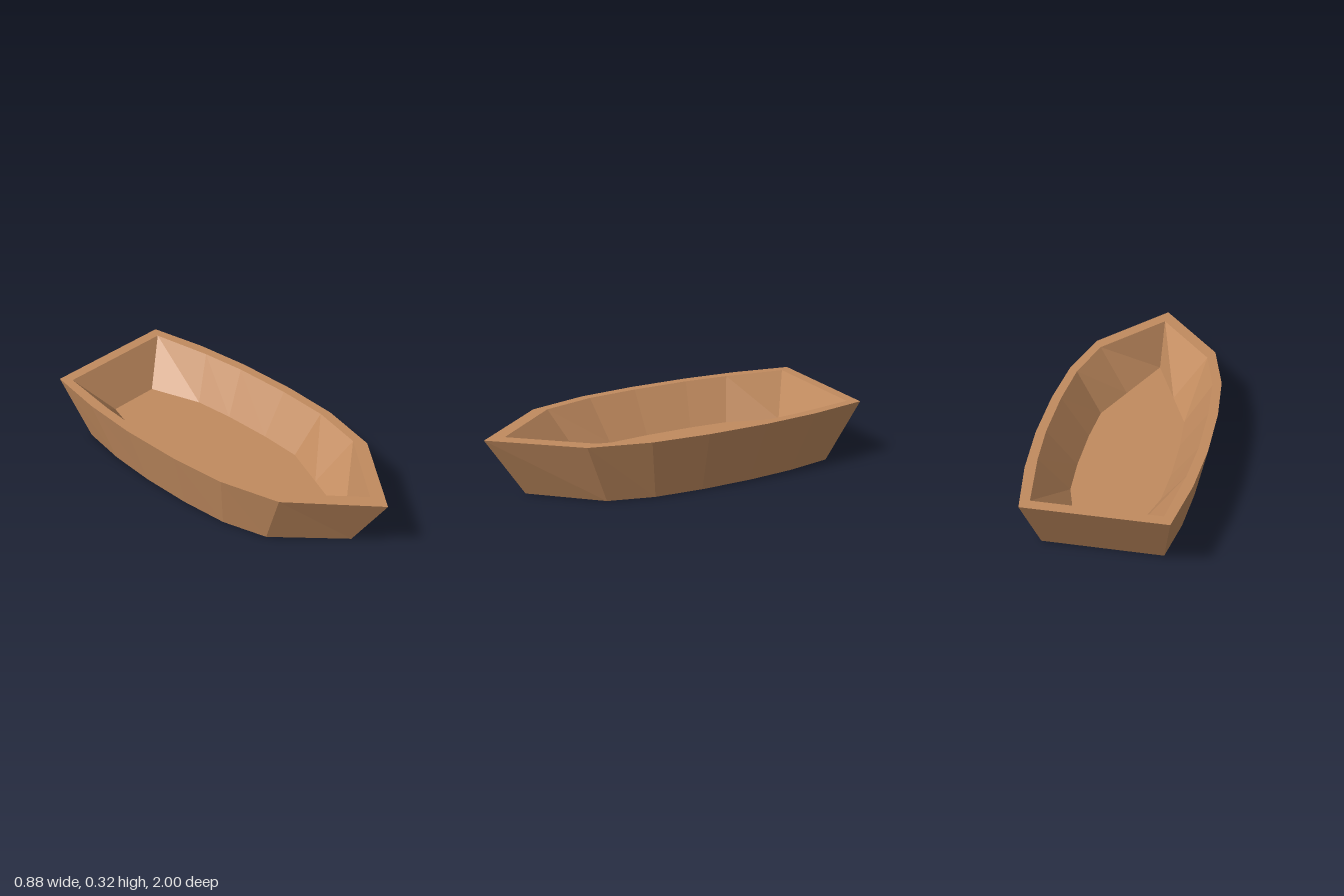
import * as THREE from 'three';

// Closed horizontal outline from its left half (x, z), stern to bow, mirrored to the right
function outline(y, half) {
  const left = half.map(([x, z]) => new THREE.Vector3(x, y, z));
  const right = half.slice(0, -1).reverse().map(([x, z]) => new THREE.Vector3(-x, y, z));
  return [...left, ...right];
}

// Faceted band of quads joining two outlines
function band(name, a, b, material) {
  const points = [];
  for (let i = 0; i < a.length; i++) {
    const j = (i + 1) % a.length;
    points.push(a[i], b[i], b[j], a[i], b[j], a[j]);
  }
  const geometry = new THREE.BufferGeometry().setFromPoints(points);
  geometry.computeVertexNormals();
  const mesh = new THREE.Mesh(geometry, material);
  mesh.name = name;
  return mesh;
}

export function createModel() {
  const group = new THREE.Group();
  group.name = 'rowingBoat';
  const wood = new THREE.MeshStandardMaterial({ color: 0xc18b5f, side: THREE.DoubleSide, flatShading: true });
  wood.name = 'wood';

  const keel = outline(0, [[0.305, -0.83], [0.35, -0.575], [0.37, -0.31], [0.37, -0.03], [0.35, 0.23], [0.285, 0.47], [0, 0.79]]);
  const gunwale = outline(0.32, [[0.36, -1], [0.415, -0.68], [0.44, -0.37], [0.44, -0.03], [0.415, 0.28], [0.335, 0.595], [0, 1]]);
  const innerRim = outline(0.32, [[0.32, -0.94], [0.37, -0.6], [0.39, -0.35], [0.39, -0.03], [0.37, 0.25], [0.3, 0.53], [0, 0.89]]);
  const floorEdge = outline(0.1, [[0.14, -0.81], [0.23, -0.52], [0.245, -0.3], [0.245, -0.03], [0.23, 0.2], [0.132, 0.43], [0, 0.74]]);
  const floorCentre = floorEdge.map(() => new THREE.Vector3(0, 0.1, -0.1));

  // The underside stays open; the floor sits above the lower hull edge
  group.add(
    band('outerHull', keel, gunwale, wood),
    band('rim', gunwale, innerRim, wood),
    band('innerWalls', innerRim, floorEdge, wood),
    band('floor', floorEdge, floorCentre, wood),
  );
  return group;
}
